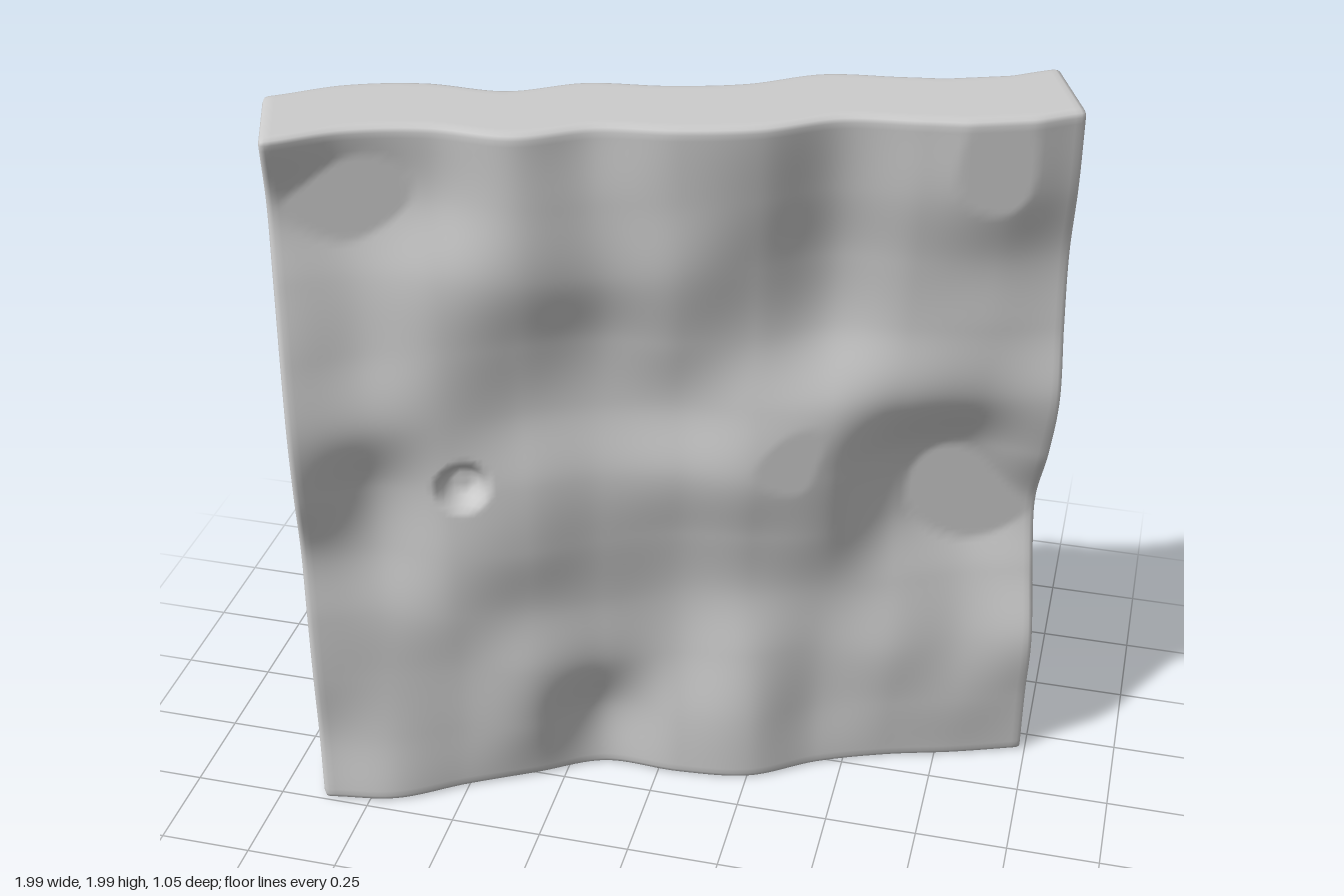
import * as THREE from 'three';
import { mergeVertices } from 'three/addons/utils/BufferGeometryUtils.js';

const W = 1.985, H = 1.985, D = 0.28, R = 0.015, N = 10;

// Bend of the slab in hundredths, on an even grid: rows from top to bottom, columns from -x to +x
const BEND = [
  [0, -5, -4, 3, 0, 4, 5, 1, 5, 8, 4],
  [-6, -8, -5, 3, 2, 4, 3, -1, 5, 8, 4],
  [-2, -4, 0, 3, 2, 5, 1, -4, 2, 4, 2],
  [3, -1, 1, -1, -3, 2, 1, -3, 1, 4, 4],
  [6, 3, 2, -2, -4, -1, 5, 6, 3, 3, 7],
  [4, -2, 3, 3, 0, 2, 7, 6, -4, -6, 2],
  [-1, -3, 4, 4, 0, -1, 3, 4, -5, -9, -6],
  [1, 0, 3, 2, -1, -3, 0, 1, 0, -3, -2],
  [2, 1, 1, 4, 0, -1, 3, 1, 4, 2, 4],
  [1, 3, 1, 2, -5, 2, 6, 1, 3, 4, 3],
  [3, 6, 2, -1, -4, 3, 7, 3, 2, 3, 3],
];

const clamp = THREE.MathUtils.clamp;

// Smooth curve through evenly spaced values
function spline(get, t) {
  const i = clamp(Math.floor(t), 0, N - 1), f = t - i;
  const at = k => get(clamp(k, 0, N));
  const a = at(i - 1), b = at(i), c = at(i + 1), d = at(i + 2);
  return b + 0.5 * f * (c - a + f * (2 * a - 5 * b + 4 * c - d + f * (3 * (b - c) + d - a)));
}

// Bend at a point, with the highest and lowest spots cut flat
function bend(x, y) {
  const u = clamp((x / W + 0.5) * N, 0, N), v = clamp((0.5 - y / H) * N, 0, N);
  return clamp(spline(r => spline(c => BEND[r][c], u), v) / 100, -0.063, 0.07);
}

export function createModel() {
  const stone = new THREE.MeshStandardMaterial({ color: 0xcccccc });
  stone.name = 'grey stone';

  let geo = new THREE.BoxGeometry(W, H, D, 130, 130, 14);
  geo.deleteAttribute('uv');
  geo.deleteAttribute('normal');
  geo = mergeVertices(geo, 1e-4);
  const pos = geo.attributes.position;
  const p = new THREE.Vector3(), core = new THREE.Vector3();
  const max = new THREE.Vector3(W / 2 - R, H / 2 - R, D / 2 - R);
  const min = max.clone().negate();
  for (let i = 0; i < pos.count; i++) {
    p.fromBufferAttribute(pos, i);
    // Round the edges
    core.copy(p).clamp(min, max);
    p.sub(core).setLength(R).add(core);
    // Small round pit in the front
    const r = Math.hypot(p.x + 0.56, p.y - 0.01);
    const pit = p.z > D / 2 - 0.002 ? 0.05 * (1 - THREE.MathUtils.smoothstep(r, 0.03, 0.075)) : 0;
    pos.setXYZ(i, p.x, p.y, p.z + bend(p.x, p.y) - pit);
  }
  geo.computeVertexNormals();

  const slab = new THREE.Mesh(geo, stone);
  slab.name = 'wavySlab';
  slab.position.y = 1;
  slab.rotation.y = THREE.MathUtils.degToRad(20);

  const group = new THREE.Group();
  group.name = 'stoneSlab';
  group.add(slab);
  return group;
}
